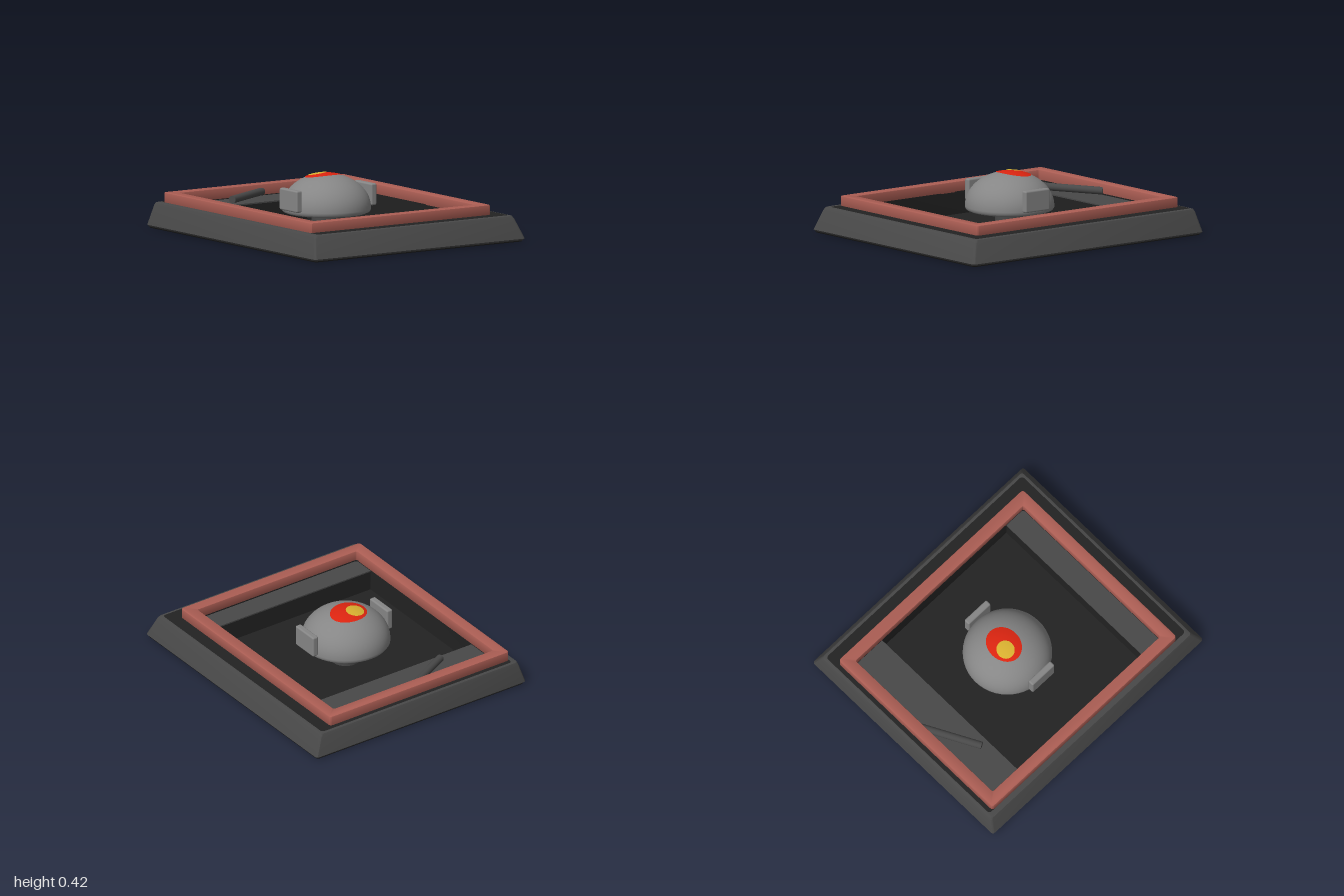
import * as THREE from 'three';
import { toCreasedNormals } from 'three/addons/utils/BufferGeometryUtils.js';
import { RoundedBoxGeometry } from 'three/addons/geometries/RoundedBoxGeometry.js';

const mat = (name, color) => {
  const m = new THREE.MeshStandardMaterial({ color });
  m.name = name;
  return m;
};

// Rounded rectangle in the ground plane, as a loop of points at height y
function ring([x0, x1, z0, z1, y, r = 0.02]) {
  const corners = [[x1 - r, z1 - r], [x0 + r, z1 - r], [x0 + r, z0 + r], [x1 - r, z0 + r]];
  return corners.flatMap(([cx, cz], c) => [0, 1, 2, 3].map((k) => {
    const a = (c + k / 3) * Math.PI / 2;
    return [cx + r * Math.cos(a), y, cz + r * Math.sin(a)];
  }));
}

// Skin a list of rectangles; going up gives outward walls, going down inward ones
function loft(rects) {
  const rings = rects.map(ring), pos = [];
  for (let j = 0; j + 1 < rings.length; j++) {
    const A = rings[j], B = rings[j + 1];
    A.forEach((p, i) => {
      const n = (i + 1) % A.length;
      pos.push(...p, ...B[i], ...B[n], ...p, ...B[n], ...A[n]);
    });
  }
  const g = new THREE.BufferGeometry();
  g.setAttribute('position', new THREE.Float32BufferAttribute(pos, 3));
  return toCreasedNormals(g, 0.5);
}

export function createModel() {
  const model = new THREE.Group();
  model.name = 'framedTray';
  const charcoal = mat('charcoal', 0x484848);
  const black = mat('black', 0x222222);
  const clay = mat('clay red', 0xac5e54);
  const grey = mat('grey', 0x868686);
  const red = mat('bright red', 0xdb2410);
  const yellow = mat('yellow', 0xd8b030);

  const add = (name, geometry, material, x = 0, y = 0, z = 0) => {
    const m = new THREE.Mesh(geometry, material);
    m.name = name;
    m.position.set(x, y, z);
    model.add(m);
    return m;
  };

  // Sloping tray walls with a softened top edge
  add('baseWalls', loft([
    [-0.86, 0.86, -0.99, 0.99, 0.008],
    [-0.87, 0.87, -1, 1, 0.02],
    [-0.83, 0.82, -0.975, 0.945, 0.155],
    [-0.822, 0.81, -0.967, 0.932, 0.172],
    [-0.81, 0.795, -0.955, 0.915, 0.176],
    [-0.785, 0.79, -0.95, 0.912, 0.176],
  ]), charcoal);

  // Dark deck, deep well and floor
  add('deckAndWell', loft([
    [-0.785, 0.79, -0.95, 0.912, 0.176],
    [-0.705, 0.615, -0.84, 0.75, 0.176],
    [-0.705, 0.615, -0.84, 0.75, 0.02],
    [0, 0, 0, 0, 0.02, 0],
  ]), black);

  // Underside
  add('underside', loft([
    [0, 0, 0, 0, 0, 0],
    [-0.855, 0.855, -0.985, 0.985, 0],
    [-0.86, 0.86, -0.99, 0.99, 0.008],
  ]), black);

  // Ledges at the back and front of the well
  for (const [side, z0, z1] of [['back', -0.84, -0.59], ['front', 0.59, 0.75]]) {
    const z = (z0 + z1) / 2, d = z1 - z0;
    add(side + 'LedgeBlock', new THREE.BoxGeometry(1.32, 0.138, d), black, -0.045, 0.089, z);
    add(side + 'LedgeTop', new THREE.BoxGeometry(1.32, 0.009, d), charcoal, -0.045, 0.1625, z);
  }

  // Raised picture frame
  const b = 0.006;
  const rect = (path, x0, x1, y0, y1) => path.setFromPoints(
    ring([x0, x1, y0, y1, 0, 0.015]).map(([x, , z]) => new THREE.Vector2(x, z)));
  const outline = rect(new THREE.Shape(), -0.785 + b, 0.70 - b, -0.83 + b, 0.92 - b);
  outline.holes.push(rect(new THREE.Path(), -0.705 - b, 0.615 + b, -0.75 - b, 0.84 + b));
  const frame = new THREE.ExtrudeGeometry(outline, {
    depth: 0.078 - 2 * b, bevelSize: b, bevelThickness: b, bevelSegments: 2,
  });
  frame.rotateX(-Math.PI / 2);
  add('frame', toCreasedNormals(frame, 0.5), clay, 0, 0.166 + b, 0);

  // Flattened dome with a lip and a flat underside
  const cx = -0.045, cz = -0.05, R = 0.303, H = 0.232, Y = 0.184;
  const profile = [[0, 0.15], [0.27, 0.15], [0.295, 0.16], [R, 0.172]].map((p) => new THREE.Vector2(...p));
  for (let i = 0; i <= 20; i++) {
    const a = i / 20 * Math.PI / 2;
    profile.push(new THREE.Vector2(i === 20 ? 0 : R * Math.cos(a), Y + H * Math.sin(a)));
  }
  add('dome', toCreasedNormals(new THREE.LatheGeometry(profile, 48), 0.6), grey, cx, 0, cz);
  add('pedestal', new THREE.CylinderGeometry(0.1, 0.1, 0.14, 32), charcoal, cx, 0.085, cz);

  // Clips on both sides of the dome
  for (const [name, x] of [['rightClip', -0.353], ['leftClip', 0.263]]) {
    add(name, new RoundedBoxGeometry(0.046, 0.15, 0.21, 2, 0.012), grey, x, 0.26, -0.03);
  }

  // Painted spots that follow the curve of the dome
  const spot = (name, x, z, rx, rz, lift, material) => {
    const g = new THREE.RingGeometry(0, 1, 40, 5);
    g.rotateX(-Math.PI / 2);
    const p = g.attributes.position;
    for (let i = 0; i < p.count; i++) {
      const px = x + p.getX(i) * rx, pz = z + p.getZ(i) * rz;
      const d2 = ((px - cx) ** 2 + (pz - cz) ** 2) / (R * R);
      p.setXYZ(i, px, Y + H * Math.sqrt(1 - d2) + lift, pz);
    }
    g.computeVertexNormals();
    add(name, g, material);
  };
  spot('redSpot', -0.045, -0.083, 0.134, 0.11, 0.004, red);
  spot('yellowSpot', -0.083, -0.105, 0.064, 0.06, 0.007, yellow);

  // Rod lying across the back ledge, its end tucked under the frame
  const from = new THREE.Vector3(-0.405, 0.193, -0.648), to = new THREE.Vector3(-0.02, 0.193, -0.85);
  const rod = add('rod', new THREE.CylinderGeometry(0.026, 0.026, from.distanceTo(to), 20), charcoal);
  rod.position.copy(from).lerp(to, 0.5);
  rod.quaternion.setFromUnitVectors(new THREE.Vector3(0, 1, 0), to.clone().sub(from).normalize());

  return model;
}
